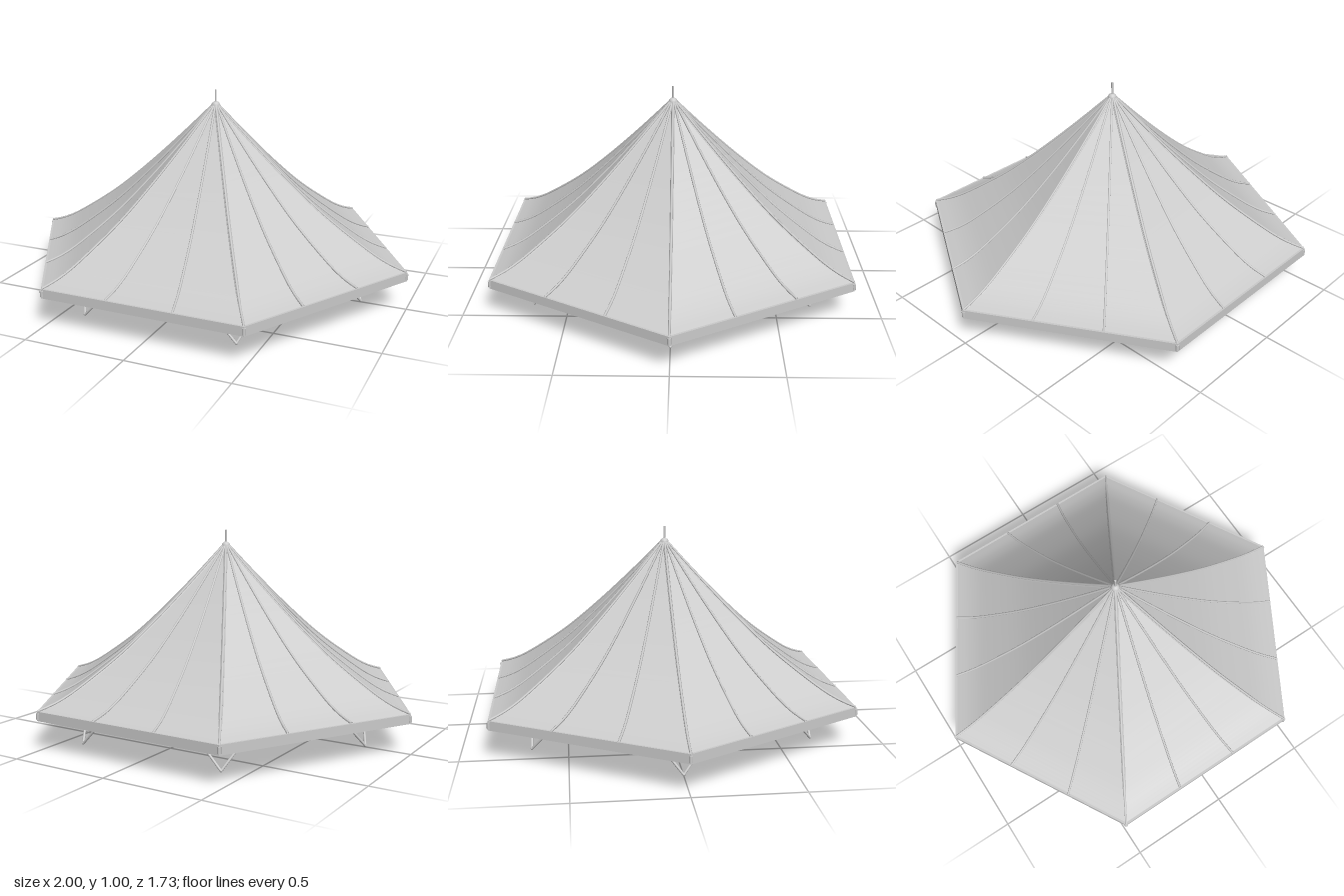
import * as THREE from 'three';

export function createModel() {
  const model = new THREE.Group();
  const mat = new THREE.MeshStandardMaterial({ color: 0xcccccc, side: THREE.DoubleSide });
  const V = (x, y, z) => new THREE.Vector3(x, y, z);
  const add = (name, geo, parent = model) => {
    const m = new THREE.Mesh(geo, mat);
    m.name = name;
    parent.add(m);
    return m;
  };
  const group = (name) => {
    const g = new THREE.Group();
    g.name = name;
    model.add(g);
    return g;
  };

  // Point on the hexagon outline: k picks a corner, fractions slide along the side
  const hex = (k, r = 1) => {
    const i = Math.floor(k), t = k - i;
    const a = (i * Math.PI) / 3, b = ((i + 1) * Math.PI) / 3;
    return V(r * ((1 - t) * Math.cos(a) + t * Math.cos(b)), 0, r * ((1 - t) * Math.sin(a) + t * Math.sin(b)));
  };

  // Sagging roof profile: x is the corner radius, y the height
  const profile = new THREE.SplineCurve([
    [0.99, 0.188], [0.9, 0.217], [0.79, 0.275], [0.58, 0.415], [0.39, 0.57], [0.2, 0.742], [0.015, 0.92],
  ].map(([x, y]) => new THREE.Vector2(x, y))).getPoints(28);
  const roofPoint = (k, p, lift = 0) => {
    const v = hex(k, p.x);
    v.y = p.y + lift;
    return v;
  };

  // Six canvas panels, smooth up the slope and sharp at the hips
  const canvas = group('roofCanvas');
  for (let k = 0; k < 6; k++) {
    const pos = [], idx = [];
    profile.forEach((p, i) => {
      for (const u of [0, 0.9999]) pos.push(...roofPoint(k + u, p).toArray());
      if (i) {
        const a = 2 * i - 2;
        idx.push(a, a + 2, a + 1, a + 1, a + 2, a + 3);
      }
    });
    const g = new THREE.BufferGeometry();
    g.setAttribute('position', new THREE.Float32BufferAttribute(pos, 3));
    g.setIndex(idx);
    g.computeVertexNormals();
    add('roofPanel', g, canvas);
  }

  // Raised seams: hips plus two between each pair
  const seams = group('roofSeams');
  for (let i = 0; i < 18; i++) {
    const path = new THREE.CatmullRomCurve3(profile.map((p) => roofPoint(i / 3 + 1e-6, p, 0.004)));
    add('seam', new THREE.TubeGeometry(path, 28, 0.006, 6), seams);
  }

  // Hip rafters under the canvas
  const rafters = group('hipRafters');
  for (let k = 0; k < 6; k++) {
    const path = new THREE.CatmullRomCurve3(profile.map((p) => roofPoint(k, p, -0.01)));
    add('rafter', new THREE.TubeGeometry(path, 28, 0.011, 6), rafters);
  }

  // Hexagonal ring with mitred corners
  const ring = (outer, inner, bottom, height) => {
    const pts = (r) => [0, 1, 2, 3, 4, 5].map((k) => {
      const v = hex(k, r);
      return new THREE.Vector2(v.x, v.z);
    });
    const s = new THREE.Shape(pts(outer));
    s.holes.push(new THREE.Path(pts(inner)));
    return new THREE.ExtrudeGeometry(s, { depth: height, bevelEnabled: false })
      .rotateX(-Math.PI / 2).translate(0, bottom, 0);
  };
  add('eaveRim', ring(0.995, 0.965, 0.145, 0.045));
  add('innerFrame', ring(0.79, 0.755, 0.2, 0.048));

  // Straight round bar between two points
  const bar = (name, a, b, r, parent) => add(name, new THREE.TubeGeometry(new THREE.LineCurve3(a, b), 1, r, 8), parent);

  // V-shaped hangers beneath each corner of the inner frame
  const hangers = group('hangers');
  for (let k = 0; k < 6; k++) {
    const foot = hex(k, 0.775).setY(0.006);
    for (const side of [1, 5]) {
      const top = foot.clone().lerp(hex((k + side) % 6, 0.775), 0.245).setY(0.206);
      bar('hangerArm', foot, top, 0.006, hangers);
    }
    add('hangerFoot', new THREE.SphereGeometry(0.007, 8, 6), hangers).position.copy(foot).setY(0.007);
  }

  // Small fittings at the eave corners
  const fittings = group('cornerFittings');
  for (let k = 0; k < 6; k++) {
    add('cornerFitting', new THREE.CylinderGeometry(0.009, 0.009, 0.03, 8), fittings)
      .position.copy(hex(k, 0.991).setY(0.167));
  }

  // Peak knob and spike
  add('peakCap', new THREE.SphereGeometry(0.022, 16, 12)).position.y = 0.92;
  add('peakSpike', new THREE.CylinderGeometry(0.005, 0.005, 0.1, 8)).position.y = 0.95;

  return model;
}
